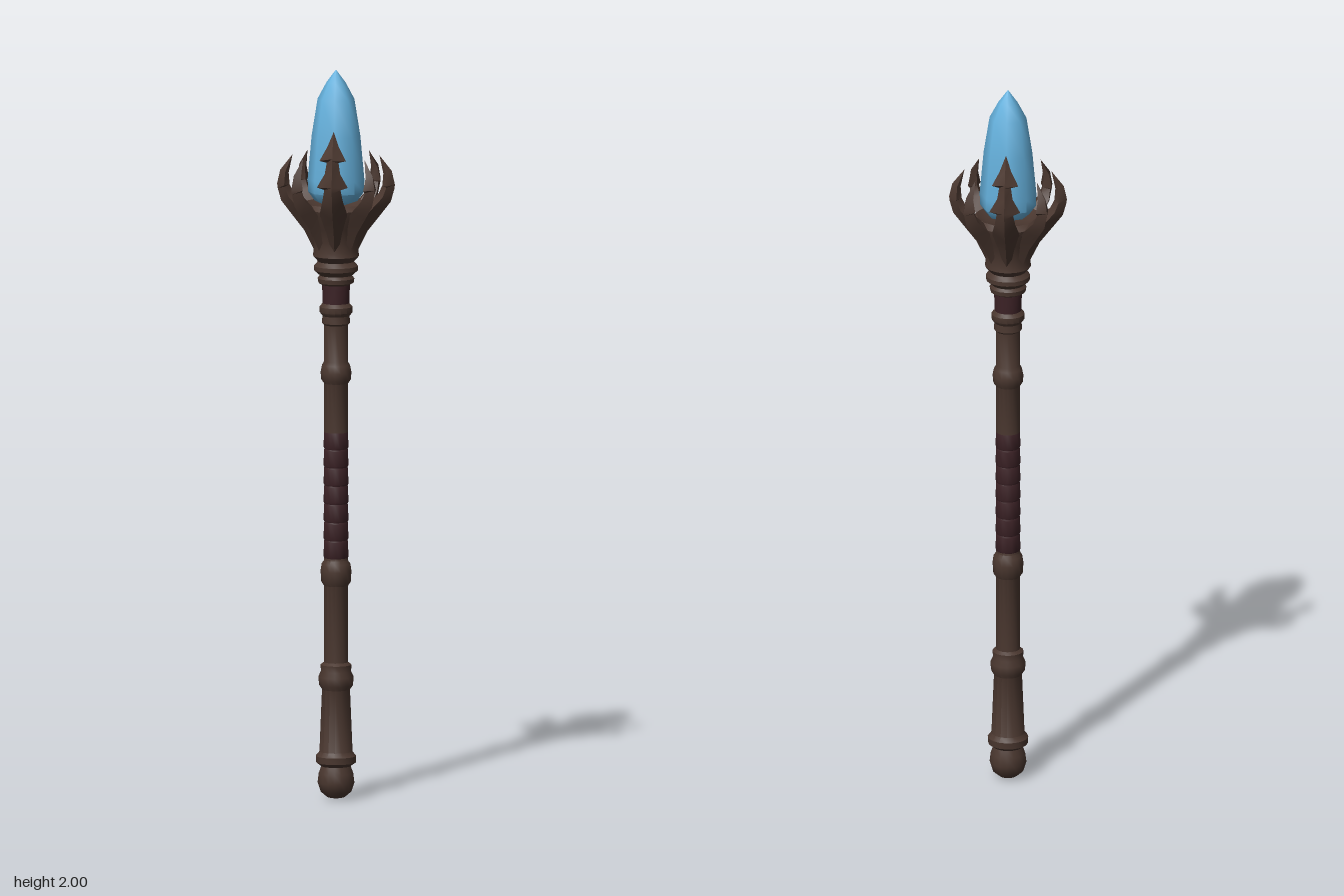
import * as THREE from 'three';
import { toCreasedNormals } from 'three/addons/utils/BufferGeometryUtils.js';

const wood = new THREE.MeshStandardMaterial({ color: 0x4a372f });
wood.name = 'dark brown wood';
const leather = new THREE.MeshStandardMaterial({ color: 0x3c2226 });
leather.name = 'dark red leather';
const gem = new THREE.MeshStandardMaterial({ color: 0x66b2de });
gem.name = 'blue crystal';

function addMesh(parent, name, geometry, material, crease = 0.7) {
  const mesh = new THREE.Mesh(toCreasedNormals(geometry, crease), material);
  mesh.name = name;
  parent.add(mesh);
  return mesh;
}

// Turned part from [radius, height] pairs, listed bottom to top
function turned(profile, sides = 16) {
  return new THREE.LatheGeometry(profile.map(([r, y]) => new THREE.Vector2(r, y)), sides);
}

// Claw curving out along +x: each section is [reach, height, half width, half depth]
function claw(sections) {
  const pos = [], index = [];
  sections.forEach(([r, y, w, d], i) => {
    const a = sections[Math.max(i - 1, 0)], b = sections[Math.min(i + 1, sections.length - 1)];
    const t = new THREE.Vector2(b[0] - a[0], b[1] - a[1]).normalize();
    const at = (out, side) => pos.push(r + t.y * out, y - t.x * out, side);
    at(d, 0);
    at(-0.25 * d, -w);
    at(-d, 0);
    at(-0.25 * d, w);
    if (i === 0) return;
    for (let j = 0; j < 4; j++) {
      const k = (j + 1) % 4, lo = (i - 1) * 4, hi = i * 4;
      index.push(lo + j, lo + k, hi + k, lo + j, hi + k, hi + j);
    }
  });
  const geometry = new THREE.BufferGeometry();
  geometry.setAttribute('position', new THREE.Float32BufferAttribute(pos, 3));
  geometry.setIndex(index);
  return geometry;
}

// Tall claw with two pairs of barbs
const tallClaw = [
  [0.035, 1.50, 0.03, 0.02], [0.065, 1.57, 0.038, 0.024], [0.105, 1.62, 0.036, 0.024],
  [0.134, 1.655, 0.028, 0.023], [0.143, 1.69, 0.022, 0.02], [0.144, 1.698, 0.042, 0.02],
  [0.14, 1.735, 0.021, 0.018], [0.13, 1.765, 0.016, 0.015], [0.128, 1.77, 0.036, 0.015],
  [0.112, 1.805, 0.016, 0.01], [0.085, 1.842, 0, 0],
];
// Short claw with a single pair of barbs
const shortClaw = (barb) => [
  [0.035, 1.50, 0.03, 0.02], [0.065, 1.57, 0.034, 0.024], [0.105, 1.62, 0.03, 0.023],
  [0.132, 1.65, 0.022, 0.02], [0.142, 1.678, 0.016, 0.017], [0.143, 1.685, barb, 0.017],
  [0.14, 1.72, 0.013, 0.012], [0.118, 1.766, 0, 0],
];

export function createModel() {
  const staff = new THREE.Group();
  staff.name = 'staff';

  // Rounded pommel, swollen grip and lower shaft
  addMesh(staff, 'pommelAndLowerShaft', turned([
    [0, 0], [0.024, 0.005], [0.042, 0.02], [0.05, 0.045], [0.047, 0.07], [0.04, 0.09],
    [0.054, 0.1], [0.055, 0.118], [0.045, 0.13], [0.038, 0.3], [0.046, 0.312],
    [0.048, 0.335], [0.041, 0.35], [0.042, 0.368], [0.033, 0.375], [0.033, 0.585],
    [0.04, 0.595], [0.042, 0.625], [0.039, 0.645], [0.032, 0.655], [0.032, 0.67],
  ]), wood);

  // Leather wrap in overlapping bands
  const bands = [];
  for (let i = 0; i < 7; i++) {
    const y = 0.66 + i * 0.05;
    bands.push([0.0315, y], [0.0335, y + 0.004], [0.033, y + 0.046], [0.0315, y + 0.05]);
  }
  addMesh(staff, 'gripWrap', turned(bands), leather);

  // Upper shaft with its rings
  addMesh(staff, 'upperShaft', turned([
    [0.033, 1.005], [0.033, 1.14], [0.04, 1.15], [0.042, 1.17], [0.038, 1.19],
    [0.032, 1.2], [0.033, 1.3], [0.038, 1.305], [0.037, 1.325], [0.045, 1.335],
    [0.045, 1.35], [0.034, 1.362],
  ]), wood);
  addMesh(staff, 'neckWrap', new THREE.CylinderGeometry(0.038, 0.036, 0.06, 16, 1, true)
    .translate(0, 1.385, 0), leather);

  // Collar rings flaring into the cup that holds the crystal
  addMesh(staff, 'collarAndCup', turned([
    [0.034, 1.408], [0.048, 1.416], [0.05, 1.428], [0.044, 1.436], [0.06, 1.45],
    [0.06, 1.462], [0.049, 1.474], [0.063, 1.49], [0.061, 1.502], [0.062, 1.53],
    [0.076, 1.57], [0.095, 1.605], [0.1, 1.622], [0.085, 1.635], [0.06, 1.62], [0, 1.615],
  ]), wood);

  // Ring of eight claws: tall at front and back, short at the sides and corners
  const claws = new THREE.Group();
  claws.name = 'claws';
  staff.add(claws);
  for (let i = 0; i < 8; i++) {
    const tall = i % 4 === 2, corner = i % 2 === 1;
    const sections = tall ? tallClaw : shortClaw(corner ? 0.023 : 0.031);
    const name = tall ? 'tallClaw' : corner ? 'cornerClaw' : 'sideClaw';
    addMesh(claws, name, claw(sections), wood, 0.6).rotation.y = i * Math.PI / 4;
  }

  // Eight-sided crystal
  addMesh(staff, 'crystal', turned([
    [0, 1.62], [0.058, 1.64], [0.076, 1.665], [0.077, 1.7], [0.066, 1.82],
    [0.05, 1.92], [0.026, 1.965], [0, 2],
  ], 8), gem, 0.85);

  return staff;
}
